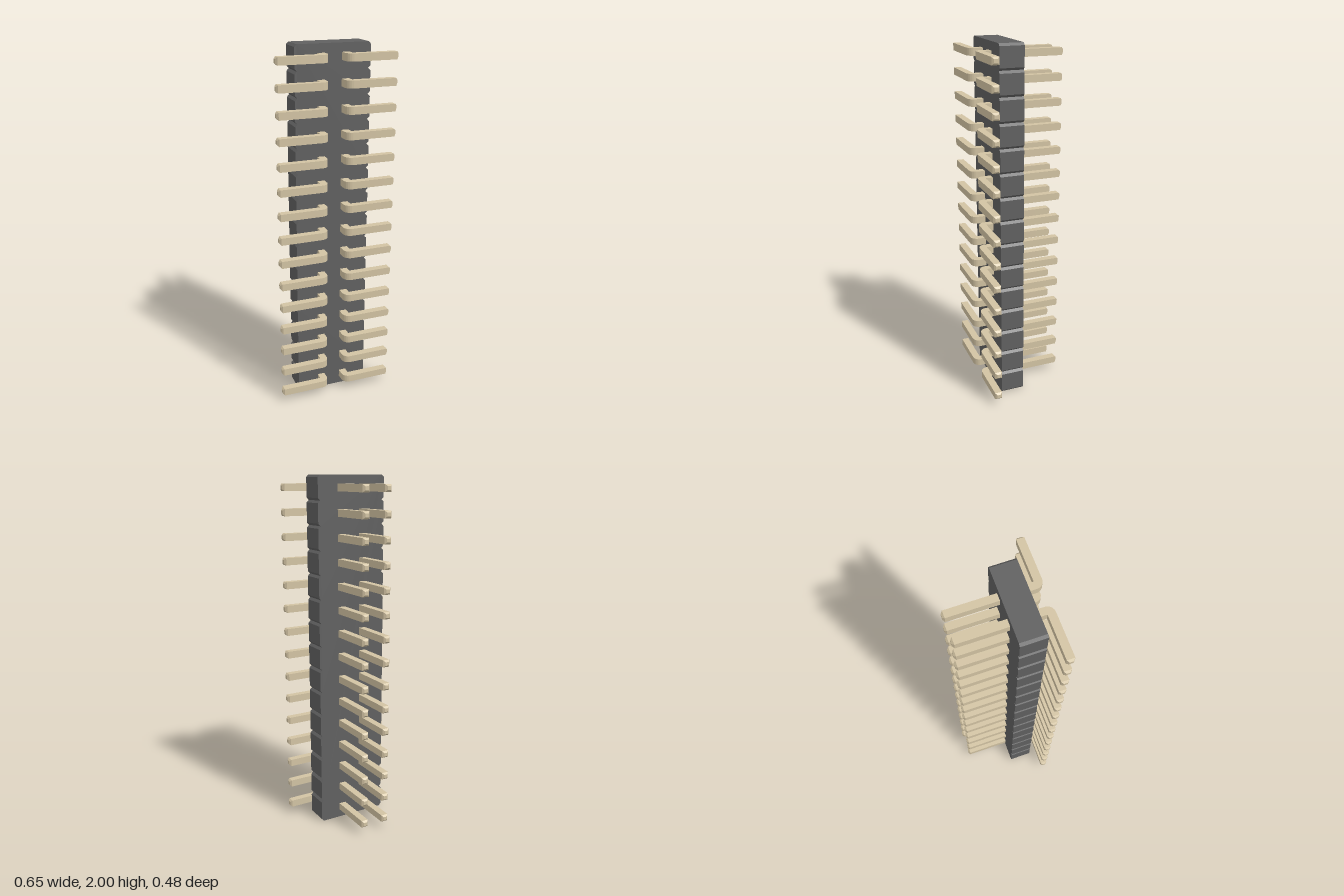
import * as THREE from 'three';
import { mergeGeometries, toCreasedNormals } from 'three/addons/utils/BufferGeometryUtils.js';

const ROWS = 15, PITCH = 2 / ROWS;
const HALF = 0.02; // half thickness of the square pin wire
const BACK = -0.231, FOOT = 0.317, TIP = 0.01;

// Housing: one outline with a chamfered segment per row, extruded in depth
function housingGeometry() {
  const w = 0.206, c = 0.013, right = [];
  for (let i = 0; i < ROWS; i++) {
    const y0 = i * PITCH, y1 = y0 + PITCH;
    if (i === 0) right.push([w - c, y0]);
    right.push([w, y0 + c], [w, y1 - c], [w - c, y1]);
  }
  const left = right.map(([x, y]) => [-x, y]).reverse();
  const shape = new THREE.Shape([...right, ...left].map(([x, y]) => new THREE.Vector2(x, y)));
  const geo = new THREE.ExtrudeGeometry(shape, { depth: 0.133, bevelEnabled: false });
  return geo.translate(0, 0, 0.026);
}

// Tapered square point, base on the origin and pointing along +y
function tipGeometry() {
  const r = Math.SQRT2;
  return new THREE.CylinderGeometry(0.01 * r, HALF * r, TIP, 4).rotateY(Math.PI / 4)
    .translate(0, TIP / 2, 0).toNonIndexed();
}

// Bent pin: straight post to the back, rounded outer bend, foot running out to the side
function pinGeometry(s) {
  const inner = 0.047, outer = 0.087, z0 = 0.2, z1 = 0.24;
  const shape = new THREE.Shape();
  shape.moveTo(s * inner, BACK);
  shape.lineTo(s * outer, BACK);
  shape.lineTo(s * outer, z0);
  shape.lineTo(s * FOOT, z0);
  shape.lineTo(s * FOOT, z1);
  shape.lineTo(s * outer, z1);
  shape.absarc(s * outer, z0, z1 - z0, Math.PI / 2, s > 0 ? Math.PI : 0, s < 0);
  shape.closePath();
  const wire = new THREE.ExtrudeGeometry(shape, { depth: 2 * HALF, bevelEnabled: false, curveSegments: 8 })
    .rotateX(Math.PI / 2).translate(0, HALF, 0);
  const backTip = tipGeometry().rotateX(-Math.PI / 2).translate(s * (inner + outer) / 2, 0, BACK);
  const footTip = tipGeometry().rotateZ(-s * Math.PI / 2).translate(s * FOOT, 0, (z0 + z1) / 2);
  const parts = [wire, backTip, footTip];
  parts.forEach((g) => g.clearGroups());
  return toCreasedNormals(mergeGeometries(parts), 0.5);
}

export function createModel() {
  const model = new THREE.Group();
  model.name = 'pinHeader';
  const plastic = new THREE.MeshStandardMaterial({ color: 0x606060 });
  const metal = new THREE.MeshStandardMaterial({ color: 0xd2c3a3 });

  const housing = new THREE.Mesh(housingGeometry(), plastic);
  housing.name = 'housing';
  model.add(housing);

  // Two mirrored columns of pins
  for (const s of [1, -1]) {
    const column = new THREE.Group();
    column.name = s > 0 ? 'leftPins' : 'rightPins';
    const geo = pinGeometry(s);
    for (let i = 0; i < ROWS; i++) {
      const pin = new THREE.Mesh(geo, metal);
      pin.name = 'pin' + (i + 1);
      pin.position.y = (i + 0.5) * PITCH;
      column.add(pin);
    }
    model.add(column);
  }
  return model;
}
